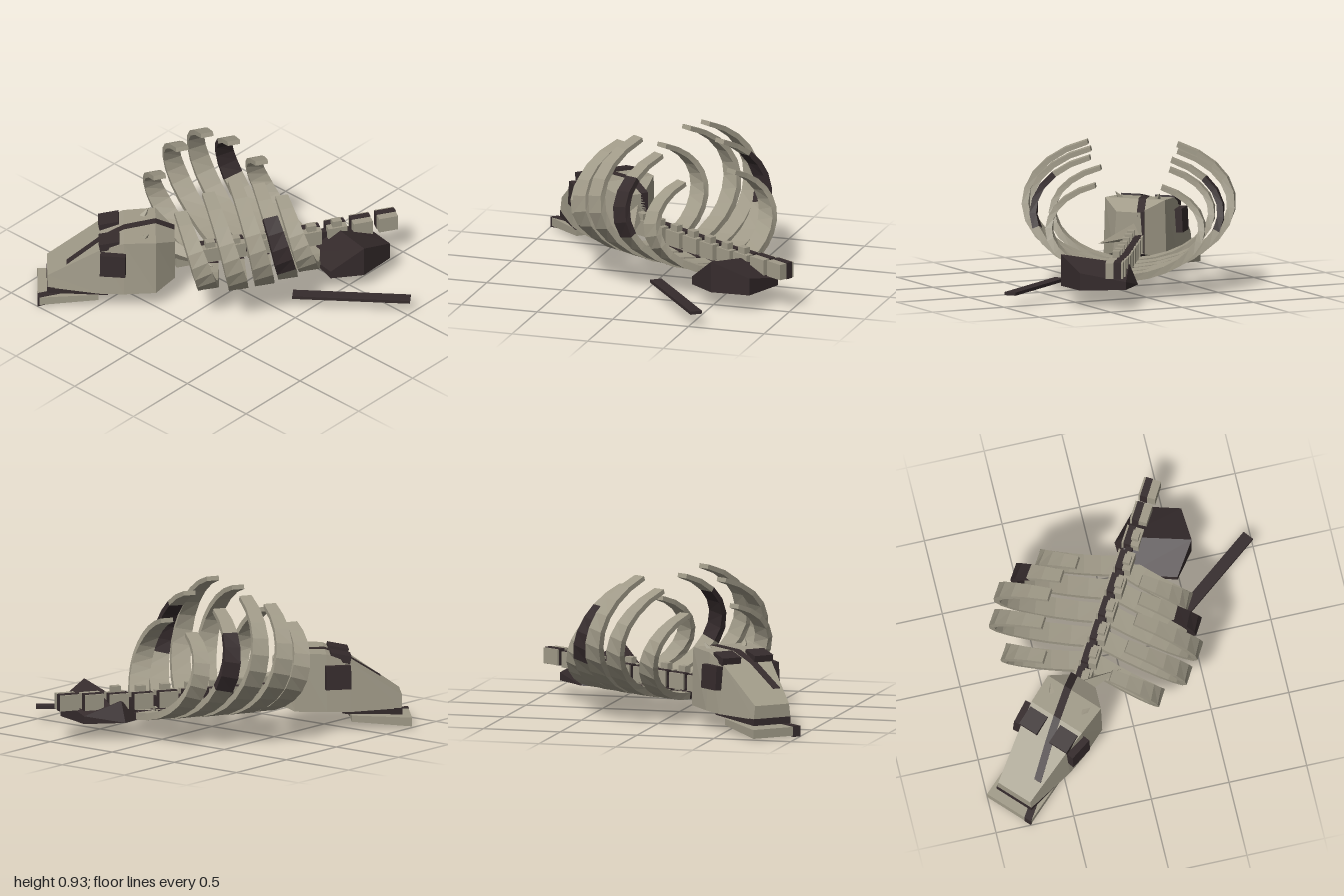
import * as THREE from 'three';
import { ConvexGeometry } from 'three/addons/geometries/ConvexGeometry.js';

const bone = new THREE.MeshStandardMaterial({ color: 0xa09a88, flatShading: true });
bone.name = 'bone';
const dark = new THREE.MeshStandardMaterial({ color: 0x352b2c, flatShading: true });
dark.name = 'darkStain';

function add(parent, name, geometry, material, pos = [0, 0, 0], rot = [0, 0, 0]) {
  const mesh = new THREE.Mesh(geometry, material);
  mesh.name = name;
  mesh.position.set(...pos);
  mesh.rotation.set(...rot);
  parent.add(mesh);
  return mesh;
}

const box = (x, y, z) => new THREE.BoxGeometry(x, y, z);

// Joins four-cornered rings into a closed, flat-sided solid; isDark picks stained segments
function loft(rings, isDark = () => false) {
  const points = [];
  const geometry = new THREE.BufferGeometry();
  const quad = (a, b, c, d) => points.push(...a, ...b, ...c, ...a, ...c, ...d);
  const first = rings[0], last = rings[rings.length - 1];
  for (let i = 0; i < rings.length - 1; i++) {
    for (let j = 0; j < 4; j++) {
      const k = (j + 1) % 4;
      quad(rings[i][j], rings[i][k], rings[i + 1][k], rings[i + 1][j]);
    }
    geometry.addGroup(i * 24, 24, isDark(i) ? 1 : 0);
  }
  geometry.addGroup((rings.length - 1) * 24, 12, 0);
  quad(first[3], first[2], first[1], first[0]);
  quad(...last);
  geometry.setAttribute('position', new THREE.Float32BufferAttribute(points, 3));
  geometry.computeVertexNormals();
  return geometry;
}

// Upright ring across z, with its own width at the bottom and at the top
const section = (z, cx, bottom, top, y0, y1) => [
  [cx - bottom, y0, z], [cx + bottom, y0, z], [cx + top, y1, z], [cx - top, y1, z],
];

function makeSkull() {
  const skull = new THREE.Group();
  skull.name = 'skull';
  skull.position.set(-0.35, 0, 0.37);
  skull.rotation.y = -Math.PI / 4 - 0.03;

  // z, half width below, half width above, bottom, top
  const profile = [
    [-0.12, 0.1, 0.08, 0.16, 0.42],
    [0, 0.21, 0.2, 0.12, 0.49],
    [0.2, 0.215, 0.19, 0.115, 0.48],
    [0.35, 0.2, 0.17, 0.11, 0.42],
    [0.68, 0.13, 0.12, 0.115, 0.2],
  ];
  add(skull, 'cranium', loft(profile.map(([z, b, t, y0, y1]) => section(z, 0, b, t, y0, y1))), bone);

  // Stain running over and under the skull, then along the jaw
  const stripe = (z, y0, y1) => section(z, -0.05 + z * 0.26, 0.025, 0.025, y0 - 0.004, y1 + 0.004);
  add(skull, 'skullStripe', loft([
    ...profile.slice(0, 4).map(([z, , , y0, y1]) => stripe(z, y0, y1)),
    stripe(0.56, 0.113, 0.28),
  ]), dark);
  add(skull, 'jawStripe', loft([stripe(0.359, 0.04, 0.08), stripe(0.741, 0, 0.06)]), dark);

  // Dark palate wedge between cranium and jaw
  add(skull, 'palate', loft([
    section(0.3, 0, 0.2, 0.2, 0.1, 0.112),
    section(0.682, 0, 0.131, 0.131, 0.075, 0.118),
  ]), dark);

  // Lower jaw, dropped at the tip
  add(skull, 'lowerJaw', loft([
    section(0.36, 0, 0.165, 0.165, 0.04, 0.08),
    section(0.74, 0, 0.165, 0.165, 0.004, 0.06),
  ]), bone);

  // Eye sockets and small horns
  for (const side of [-1, 1]) {
    add(skull, 'sideEyeSocket', box(0.05, 0.15, 0.16), dark, [side * 0.21, 0.335, 0.27], [0, -side * 0.12, side * 0.05]);
    add(skull, 'topEyeSocket', box(0.13, 0.05, 0.13), dark, [side * 0.113, 0.45, 0.29], [0.2, 0, 0]);
    add(skull, 'horn', new THREE.ConeGeometry(0.025, 0.07, 4), bone, [side * 0.135, 0.5, 0.06], [-0.6, 0, -side * 0.4]);
  }
  return skull;
}

// One curved rib band rising from the spine, swept towards the head
function ribGeometry(width, height, tip, stained) {
  const angles = [0, 0.05];
  for (let i = 1; i <= 11; i++) angles.push(0.05 + (i / 11) * (tip - 0.05));
  const rings = angles.map((a) => {
    const centre = new THREE.Vector3(width * Math.sin(a), height * (1 - Math.cos(a)), 0.25 * Math.sin(0.6 * a));
    const tangent = new THREE.Vector3(width * Math.cos(a), height * Math.sin(a), 0.15 * Math.cos(0.6 * a));
    const out = new THREE.Vector3(height * Math.sin(a), -width * Math.cos(a), 0).normalize();
    const across = out.clone().cross(tangent).normalize();
    const taper = 1 - 0.35 * Math.max(0, a / tip - 0.5) * 2;
    return [[-1, -1], [1, -1], [1, 1], [-1, 1]].map(([u, v]) => centre.clone()
      .addScaledVector(across, u * 0.062 * taper)
      .addScaledVector(out, v * 0.022 * taper).toArray());
  });
  return loft(rings, (i) => i === 0 || (stained && i >= 6 && i <= 9));
}

function makeTorso() {
  const torso = new THREE.Group();
  torso.name = 'torso';
  torso.rotation.y = -Math.PI / 6;

  const ribs = [
    [0.48, 0.285], [0.59, 0.365], [0.65, 0.405], [0.63, 0.37], [0.5, 0.295],
  ];
  ribs.forEach(([width, height], i) => {
    for (const side of [-1, 1]) {
      const geometry = ribGeometry(width, height, side > 0 ? 2.73 : 2.66, i === 1);
      const rib = add(torso, side > 0 ? 'leftRib' : 'rightRib', geometry, [bone, dark], [-0.11, 0.135, -0.52 + i * 0.167]);
      rib.scale.x = side;
    }
  });

  // Backbone: thin stained cord with a row of vertebrae
  add(torso, 'spinalCord', box(0.045, 0.06, 0.96), dark, [-0.12, 0.215, -0.14], [0, -0.05, 0]);
  for (let i = 0; i < 9; i++) {
    const z = -1.01 + i * 0.165;
    const x = -0.085 - i * 0.005;
    const y = 0.25 - Math.min(i, 3) * 0.008;
    add(torso, 'vertebra', box(0.11, 0.1, 0.125), bone, [x, y, z]);
    add(torso, 'vertebraStripe', box(0.045, 0.106, 0.129), dark, [x - 0.02, y, z]);
    if (i > 1) add(torso, 'vertebraSpur', box(0.045, 0.06, 0.06), bone, [x + 0.02, y + 0.06, z]);
  }
  return torso;
}

export function createModel() {
  const model = new THREE.Group();
  model.name = 'skeleton';
  model.add(makeSkull(), makeTorso());

  // Neck splinter behind the skull
  const splinter = add(model, 'neckSplinter', new THREE.ConeGeometry(0.06, 0.3, 4), bone, [-0.15, 0.27, 0.24]);
  splinter.quaternion.setFromUnitVectors(new THREE.Vector3(0, 1, 0), new THREE.Vector3(0.9, -0.15, -0.25).normalize());

  // Wedge-shaped pelvis
  const pelvis = [
    [0.16, 0.11, -0.45], [0.48, 0.11, -0.35], [0.61, 0.11, -0.52], [0.6, 0.11, -0.77],
    [0.33, 0.11, -0.87], [0.15, 0.11, -0.68], [0.48, 0.16, -0.35], [0.61, 0.31, -0.52],
    [0.33, 0.16, -0.87], [0.6, 0.22, -0.77], [0.2, 0.24, -0.66],
  ].map((p) => new THREE.Vector3(...p));
  add(model, 'pelvis', new ConvexGeometry(pelvis), dark);

  // Loose limb bone lying beside the body
  add(model, 'looseBone', box(0.74, 0.02, 0.075), dark, [0.69, 0.085, -0.315], [0, 0.67, 0]);
  return model;
}
